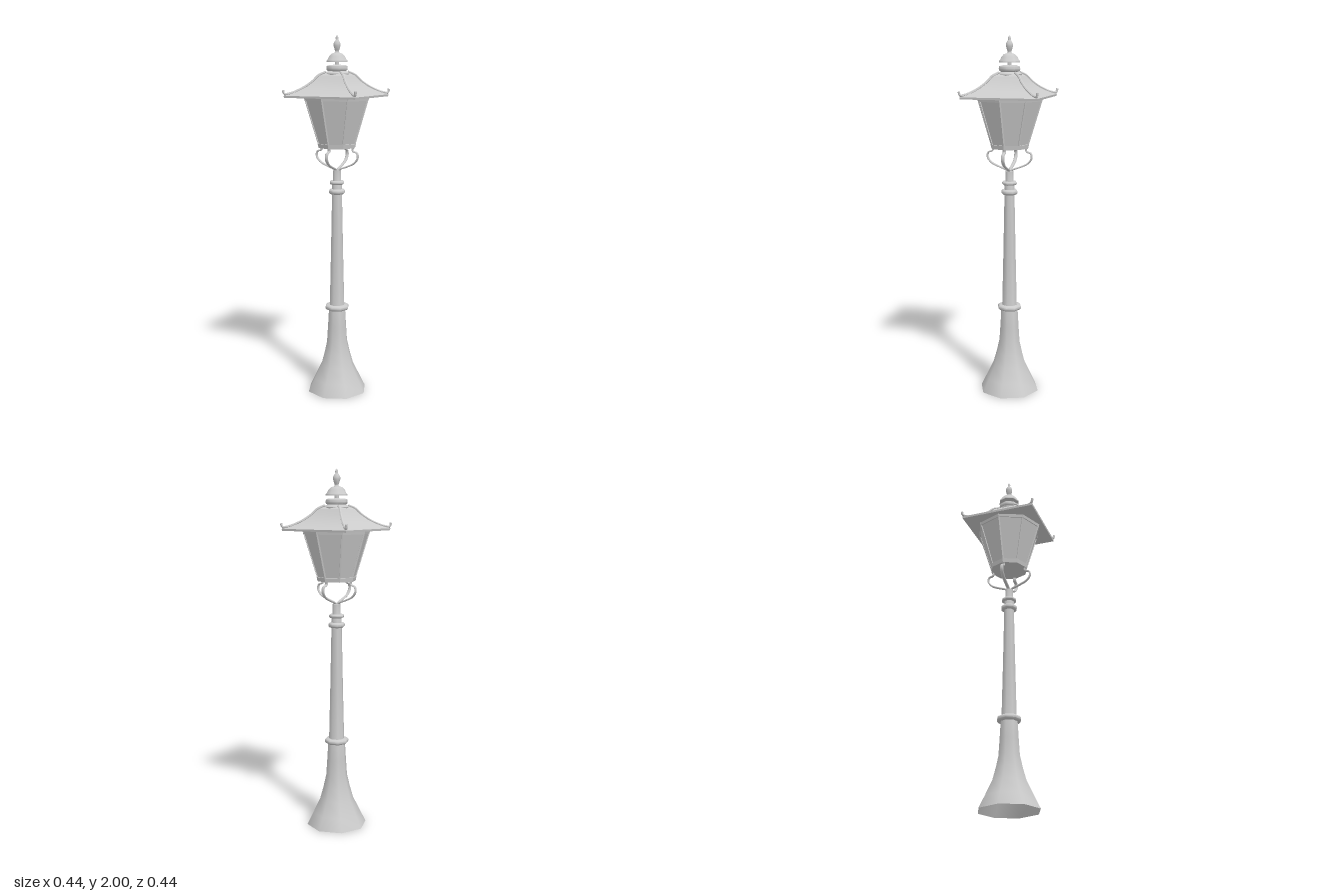
import * as THREE from 'three';
import { toCreasedNormals } from 'three/addons/utils/BufferGeometryUtils.js';

const material = new THREE.MeshStandardMaterial({ color: 0xcccccc, side: THREE.DoubleSide });

function part(parent, name, geometry) {
  const mesh = new THREE.Mesh(geometry, material);
  mesh.name = name;
  parent.add(mesh);
  return mesh;
}

// Revolve [radius, height] pairs; corners sharper than the crease stay hard
function turned(profile, sides = 8, start = 0, crease = 0.9) {
  const points = profile.map(([r, y]) => new THREE.Vector2(r, y));
  return toCreasedNormals(new THREE.LatheGeometry(points, sides, start), crease);
}

function path(points) {
  return new THREE.CatmullRomCurve3(points.map(p => new THREE.Vector3(...p)));
}

// Straight square bar between two points
function bar(parent, name, a, b, width) {
  const curve = new THREE.LineCurve3(a, b);
  return part(parent, name, toCreasedNormals(new THREE.TubeGeometry(curve, 1, width, 4), 0.5));
}

export function createModel() {
  const model = new THREE.Group();
  model.name = 'streetLamp';

  // Flared post, open underneath
  part(model, 'post', turned([
    [0.17, 0], [0.135, 0.07], [0.096, 0.15], [0.076, 0.22], [0.06, 0.29], [0.054, 0.38], [0.048, 0.48],
    [0.043, 0.51], [0.036, 0.8], [0.029, 1.14], [0.028, 1.2], [0.023, 1.215], [0.023, 1.27], [0.001, 1.272],
  ]));

  // Rounded collars on the post: [height, outer radius, half thickness]
  for (const [y, r, h] of [[0.491, 0.068, 0.014], [1.153, 0.046, 0.014], [1.203, 0.042, 0.01]]) {
    part(model, 'postCollar', turned([
      [0.02, y - h], [r - h * 0.6, y - h], [r, y - h * 0.4], [r, y + h * 0.4], [r - h * 0.6, y + h], [0.02, y + h],
    ]));
  }

  // Four scrolled flat brackets carrying the lantern
  const scroll = path([
    [0.004, 1.265, 0], [0.02, 1.278, 0], [0.06, 1.293, 0], [0.105, 1.315, 0], [0.126, 1.345, 0],
    [0.121, 1.371, 0], [0.102, 1.378, 0], [0.094, 1.385, 0], [0.098, 1.402, 0],
  ]);
  const scrollGeometry = new THREE.TubeGeometry(scroll, 28, 0.005, 6);
  scrollGeometry.scale(1, 1, 2);
  for (let i = 0; i < 4; i++) part(model, 'bracket', scrollGeometry).rotation.y = i * Math.PI / 2;

  // Eight-sided tapering lantern with a band at its foot
  const lantern = new THREE.Group();
  lantern.name = 'lantern';
  model.add(lantern);
  part(lantern, 'lanternPanes', turned([[0.001, 1.402], [0.1, 1.402], [0.183, 1.672]], 8, 0, 0.3));
  part(lantern, 'lanternFoot', turned([[0.09, 1.397], [0.106, 1.397], [0.111, 1.42], [0.1, 1.422]], 8, 0, 0.3));
  part(lantern, 'lanternHead', turned([[0.175, 1.655], [0.183, 1.655], [0.187, 1.672]], 8, 0, 0.3));
  for (let i = 0; i < 8; i++) {
    const a = i * Math.PI / 4;
    const at = (r, y) => new THREE.Vector3(r * Math.sin(a), y, r * Math.cos(a));
    bar(lantern, 'glazingBar', at(0.1, 1.405), at(0.182, 1.67), 0.006);
  }

  // Square roof with hollow-curved slopes; each pair is [half width, height]
  const slope = [[0.212, 1.682], [0.185, 1.693], [0.155, 1.708], [0.125, 1.729], [0.096, 1.757], [0.073, 1.787]];
  const square = list => list.map(([w, y]) => [w * Math.SQRT2, y]);
  part(model, 'roof', turned(square([[0.001, 1.671], [0.21, 1.671], ...slope, [0.045, 1.803], [0.001, 1.806]]),
    4, Math.PI / 4, 0.35));

  // Hip ridges ending in upturned tips
  const hip = path([
    [0.213, 1.712, 0.213], [0.21, 1.692, 0.21],
    ...slope.slice(1).map(([w, y]) => [w, y + 0.002, w]), [0.045, 1.806, 0.045],
  ]);
  const hipGeometry = toCreasedNormals(new THREE.TubeGeometry(hip, 24, 0.007, 6), 0.6);
  for (let i = 0; i < 4; i++) {
    const angle = i * Math.PI / 2;
    part(model, 'hipRidge', hipGeometry).rotation.y = angle;
    const tip = part(model, 'hipTip', new THREE.ConeGeometry(0.006, 0.02, 6));
    tip.position.set(0.212, 1.705, 0.212).applyAxisAngle(new THREE.Vector3(0, 1, 0), angle);
  }

  // Stacked chimney rings, domed cap and finial
  part(model, 'chimney', turned([
    [0.05, 1.785], [0.068, 1.79], [0.07, 1.798], [0.062, 1.806], [0.05, 1.81],
    [0.058, 1.815], [0.061, 1.825], [0.058, 1.838], [0.045, 1.843], [0.012, 1.844], [0.012, 1.862],
  ]));
  part(model, 'cap', turned([
    [0.001, 1.859], [0.06, 1.859], [0.06, 1.866], [0.053, 1.872], [0.045, 1.889], [0.031, 1.903], [0.012, 1.908],
    [0.001, 1.909],
  ]));
  part(model, 'finial', turned([
    [0.016, 1.905], [0.01, 1.915], [0.013, 1.922], [0.02, 1.945], [0.02, 1.956], [0.012, 1.971],
    [0.007, 1.976], [0.008, 1.986], [0.006, 1.995], [0.001, 2],
  ]));

  return model;
}
